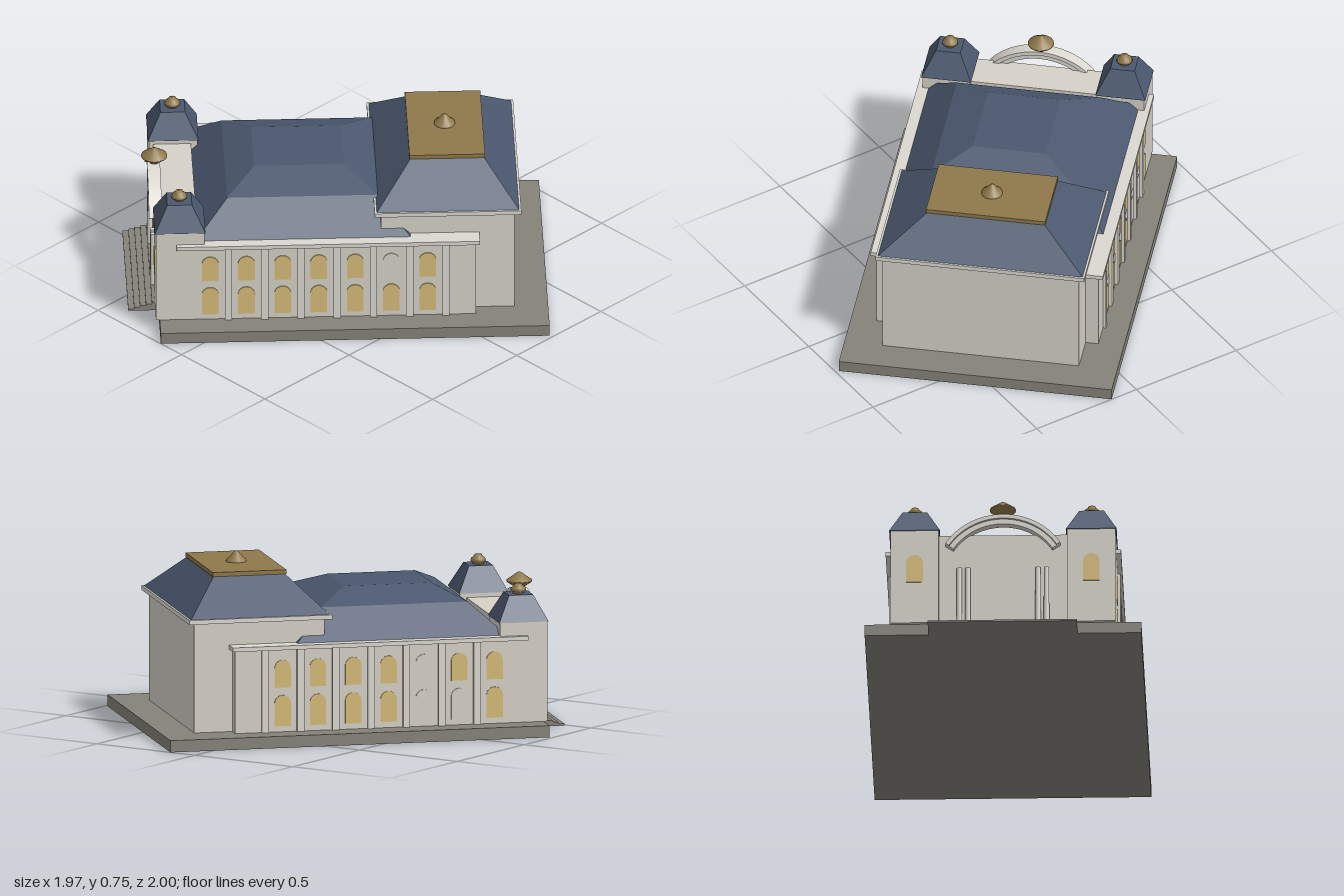
import * as THREE from 'three';

const mat = (name, color) => Object.assign(new THREE.MeshStandardMaterial({ color }), { name });

export function createModel() {
  const wall = mat('wall stone', 0xd6d1c8);
  const trim = mat('pale trim', 0xdbd8d0);
  const roof = mat('slate roof', 0x4b586f);
  const gold = mat('aged gold', 0x8f784a);
  const glass = mat('warm glass', 0xd6bb78);
  const ground = mat('plinth stone', 0x85827a);

  const model = new THREE.Group();
  model.name = 'theatre';
  // The building sits at an angle; everything below is laid out on its own axes.
  const hall = new THREE.Group();
  hall.name = 'building';
  hall.rotation.y = -0.742;
  model.add(hall);

  const add = (name, geometry, material, x = 0, y = 0, z = 0) => {
    const mesh = new THREE.Mesh(geometry, material);
    mesh.name = name;
    mesh.position.set(x, y, z);
    hall.add(mesh);
    return mesh;
  };

  // Box given by its limits on each axis
  const block = (name, material, x0, x1, y0, y1, z0, z1) =>
    add(name, new THREE.BoxGeometry(x1 - x0, y1 - y0, z1 - z0), material,
      (x0 + x1) / 2, (y0 + y1) / 2, (z0 + z1) / 2);

  // Hipped roof lofted through rectangles [half width, back, front, height]
  const hipRoof = (rings) => {
    const corners = rings.map(([h, z0, z1, y]) =>
      [[-h, y, z1], [h, y, z1], [h, y, z0], [-h, y, z0]]);
    const pos = [];
    const quad = (a, b, c, d) => pos.push(...a, ...b, ...c, ...a, ...c, ...d);
    for (let r = 0; r + 1 < corners.length; r++) {
      const lo = corners[r], hi = corners[r + 1];
      for (let i = 0; i < 4; i++) {
        const j = (i + 1) % 4;
        quad(lo[i], lo[j], hi[j], hi[i]);
      }
    }
    quad(...corners[corners.length - 1]);
    quad(...[...corners[0]].reverse());
    const g = new THREE.BufferGeometry();
    g.setAttribute('position', new THREE.Float32BufferAttribute(pos, 3));
    g.computeVertexNormals();
    return g;
  };

  // Round-headed plate standing on y = 0 and facing +z
  const archPlate = (w, h, depth) => {
    const s = new THREE.Shape();
    s.moveTo(-w / 2, 0);
    s.lineTo(w / 2, 0);
    s.lineTo(w / 2, h - w / 2);
    s.absarc(0, h - w / 2, w / 2, 0, Math.PI, false);
    s.lineTo(-w / 2, 0);
    return new THREE.ExtrudeGeometry(s, { depth, bevelEnabled: false, curveSegments: 10 });
  };

  const turned = (points, sides = 16) =>
    new THREE.LatheGeometry(points.map(([r, y]) => new THREE.Vector2(r, y)), sides);

  // Plinth and entrance steps
  block('plinth', ground, -0.584, 0.584, 0, 0.05, -0.821, 0.821);
  for (let i = 0; i < 5; i++) {
    block('entranceStep', ground, -0.315, 0.315, 0, 0.008 + i * 0.008, 0.8, 0.948 - i * 0.025);
  }

  // Main hall with its two-slope roof
  block('hallWalls', wall, -0.475, 0.475, 0.05, 0.415, -0.515, 0.74);
  add('hallRoof', hipRoof([
    [0.455, -0.245, 0.675, 0.415], [0.31, -0.105, 0.53, 0.547], [0.155, 0.03, 0.41, 0.607],
  ]), roof);

  // Stage house: walls, cornice, roof, gold deck and finial
  block('stageWalls', wall, -0.42, 0.42, 0.05, 0.52, -0.68, -0.115);
  block('stageCornice', trim, -0.447, 0.447, 0.518, 0.537, -0.707, -0.088);
  add('stageRoof', hipRoof([[0.438, -0.698, -0.097, 0.537], [0.25, -0.556, -0.247, 0.686]]), roof);
  block('roofDeck', gold, -0.255, 0.255, 0.686, 0.704, -0.561, -0.242);
  add('stageFinial', turned([[0.045, 0], [0.043, 0.008], [0.025, 0.022], [0.011, 0.041], [0, 0.047]]),
    gold, 0, 0.704, -0.4);

  // Long sides: cornice, pilasters and two rows of arched windows
  const blind = { 1: ['1,5'], '-1': ['0,1', '0,2', '1,2'] };
  for (const side of [1, -1]) {
    const x = (v) => side * v;
    const band = (name, out, y0, y1, z0, z1) =>
      block(name, trim, Math.min(x(0.42), x(out)), Math.max(x(0.42), x(out)), y0, y1, z0, z1);
    band('sideCornice', 0.497, 0.403, 0.421, -0.53, 0.75);
    for (let i = 0; i < 7; i++) {
      const z = 0.608 - i * 0.153;
      band('pilaster', 0.488, 0.05, 0.403, z - 0.092, z - 0.062);
      [[0.075, 0.132], [0.24, 0.118]].forEach(([y, h], row) => {
        const hidden = blind[side].includes(`${row},${i}`);
        const pane = add(hidden ? 'blindWindow' : 'sideWindow', archPlate(0.07, h, 0.006),
          hidden ? wall : glass, x(0.473), y, z);
        pane.rotation.y = side * Math.PI / 2;
      });
    }
  }

  // Front corner towers
  for (const side of [1, -1]) {
    const cx = side * 0.373, cz = 0.735;
    block('towerWalls', wall, cx - 0.102, cx + 0.102, 0.05, 0.48, cz - 0.102, cz + 0.102);
    add('towerRoof', hipRoof([[0.107, -0.107, 0.107, 0.478], [0.052, -0.052, 0.052, 0.586]]),
      roof, cx, 0, cz);
    add('towerFinial', turned([[0.024, 0], [0.024, 0.008], [0.034, 0.014], [0.03, 0.026],
      [0.018, 0.036], [0.016, 0.042], [0, 0.046]]), gold, cx, 0.584, cz);
    add('towerWindow', archPlate(0.07, 0.125, 0.006), glass, cx, 0.238, cz + 0.1);
    // Paired entrance columns
    for (const offset of [0.148, 0.184]) {
      add('entranceColumn', new THREE.CylinderGeometry(0.011, 0.012, 0.25, 12), trim,
        side * offset, 0.175, 0.838);
    }
  }

  // Entrance front with round-headed portal
  block('entranceWall', wall, -0.275, 0.275, 0.05, 0.46, 0.66, 0.82);
  add('portal', archPlate(0.3, 0.38, 0.008), wall, 0, 0.05, 0.815);

  // Free-standing curved gable of two stepped bands
  const gableBand = (r0, r1, depth) => {
    const a = 0.57, s = new THREE.Shape();
    s.absarc(0, 0, r1, a, Math.PI - a, false);
    s.absarc(0, 0, r0, Math.PI - a, a, true);
    s.closePath();
    return new THREE.ExtrudeGeometry(s, { depth, bevelEnabled: false, curveSegments: 20 });
  };
  add('gableOuterBand', gableBand(0.27, 0.288, 0.055), trim, 0, 0.254, 0.802);
  add('gableInnerBand', gableBand(0.248, 0.27, 0.037), trim, 0, 0.254, 0.808);

  // Gold crown on the gable
  add('gableCrown', turned([[0.018, 0], [0.022, 0.015], [0.055, 0.037], [0.055, 0.043],
    [0.03, 0.06], [0.01, 0.075], [0, 0.079]]), gold, 0, 0.533, 0.826);

  return model;
}
